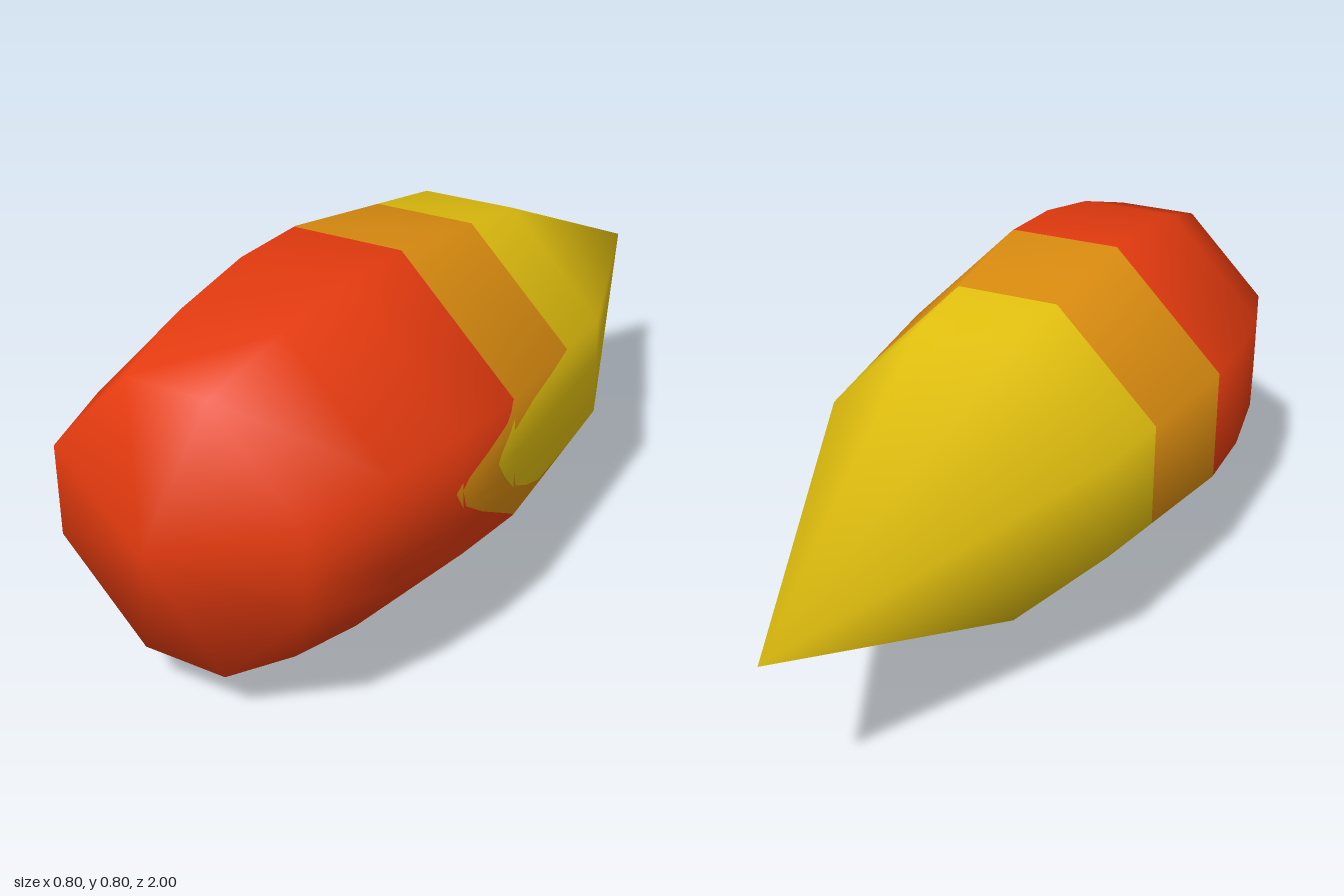
import * as THREE from 'three';

// Profile along z: [z, half width]
const RINGS = [[-1, 0], [-0.18, 0.34], [0.31, 0.4], [0.5, 0.392], [0.7, 0.357], [0.9, 0.296], [1, 0]];
const T = 1 / 3;
// Octagonal section, counter-clockwise seen from the front; facet 0 is the +x side
const CORNERS = [[1, -T], [1, T], [T, 1], [-T, 1], [-1, T], [-1, -T], [-T, -1], [T, -1]];
const CENTRE_Y = 0.4;

// Colour borders across a facet: [u, tail/band z, band/front z]
const PLAIN = [[0, 0.015, 0.315], [1, 0.015, 0.315]];
const TONGUE = [
  [0, 0, 0.31], [0.03, 0.17, 0.32], [0.125, 0.24, 0.37], [0.24, 0.3, 0.43],
  [0.39, 0.345, 0.49], [0.54, 0.37, 0.52], [0.61, 0.36, 0.48], [0.73, 0.33, 0.4],
  [0.84, 0.21, 0.34], [0.92, 0.1, 0.325], [1, 0.02, 0.32],
];

const corner = (ring, j) => new THREE.Vector3(
  CORNERS[j % 8][0] * RINGS[ring][1], CENTRE_Y + CORNERS[j % 8][1] * RINGS[ring][1], RINGS[ring][0]);

// Smooth normals of the plain hull, one per ring corner
function hullNormals() {
  const points = [], index = [];
  RINGS.forEach((_, i) => CORNERS.forEach((__, j) => {
    points.push(corner(i, j));
    if (i === RINGS.length - 1) return;
    const a = i * 8 + j, b = i * 8 + (j + 1) % 8;
    index.push(a, b, b + 8, a, b + 8, a + 8);
  }));
  const g = new THREE.BufferGeometry().setFromPoints(points);
  g.setIndex(index);
  g.computeVertexNormals();
  const n = g.attributes.normal;
  return (ring, j) => {
    if (ring === 0) return new THREE.Vector3(0, 0, -1);
    if (ring === RINGS.length - 1) return new THREE.Vector3(0, 0, 1);
    return new THREE.Vector3().fromBufferAttribute(n, ring * 8 + j % 8);
  };
}

// One colour section: every facet, cut between its lower and upper border
function sectionGeometry(section, normalAt) {
  const pos = [], nor = [];
  const blend = (get, i, j, u, t) => get(i, j).lerp(get(i, j + 1), u)
    .lerp(get(i + 1, j).lerp(get(i + 1, j + 1), u), t);
  const range = ([, tail, front]) => [[-1, tail], [tail, front], [front, 1]][section];

  for (let j = 0; j < 8; j++) {
    const columns = j === 0 ? TONGUE : PLAIN;
    for (let c = 0; c < columns.length - 1; c++) {
      for (let i = 0; i < RINGS.length - 1; i++) {
        const z0 = RINGS[i][0], z1 = RINGS[i + 1][0];
        const [l, r] = [columns[c], columns[c + 1]].map((col) => ({
          u: col[0], z: range(col).map((z) => THREE.MathUtils.clamp(z, z0, z1)),
        }));
        if (l.z[0] === l.z[1] && r.z[0] === r.z[1]) continue;
        const quad = [[l, 0], [r, 0], [r, 1], [l, 0], [r, 1], [l, 1]];
        for (const [edge, end] of quad) {
          const t = (edge.z[end] - z0) / (z1 - z0);
          pos.push(...blend(corner, i, j, edge.u, t).toArray());
          nor.push(...blend(normalAt, i, j, edge.u, t).normalize().toArray());
        }
      }
    }
  }
  const g = new THREE.BufferGeometry();
  g.setAttribute('position', new THREE.Float32BufferAttribute(pos, 3));
  g.setAttribute('normal', new THREE.Float32BufferAttribute(nor, 3));
  return g;
}

export function createModel() {
  const group = new THREE.Group();
  group.name = 'pointedPod';
  const normalAt = hullNormals();
  const parts = [
    ['tailSection', 'yellow', 0xe6c30f],
    ['middleBand', 'orange', 0xde8e10],
    ['frontSection', 'red', 0xe63b0f],
  ];
  parts.forEach(([name, colourName, color], section) => {
    const material = new THREE.MeshStandardMaterial({ color });
    material.name = colourName;
    const mesh = new THREE.Mesh(sectionGeometry(section, normalAt), material);
    mesh.name = name;
    group.add(mesh);
  });
  return group;
}
